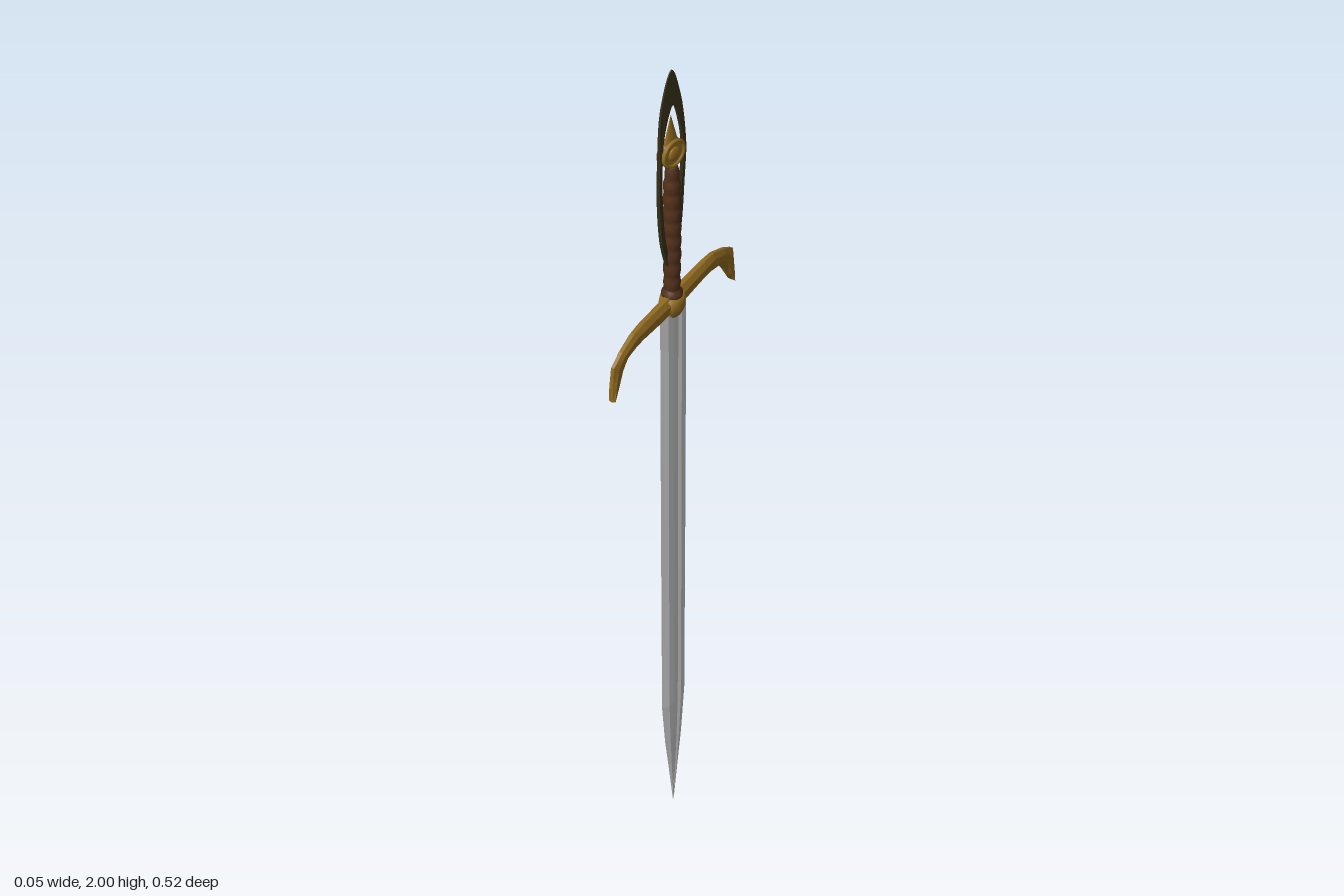
import * as THREE from 'three';

const mat = (color, flatShading = false) =>
  new THREE.MeshStandardMaterial({ color, flatShading, side: THREE.DoubleSide });

const steel = mat(0xcccccc, true);
const brass = mat(0x916b20, true);
const brassSmooth = mat(0x916b20);
const wood = mat(0x52301a);
const dark = mat(0x332e18);

// Skin a row of closed rings (arrays of [x, y, z]) and cap both ends
function loft(rings) {
  const n = rings[0].length;
  const index = [];
  for (let i = 0; i < rings.length - 1; i++) {
    for (let j = 0; j < n; j++) {
      const k = (j + 1) % n;
      const a = i * n + j, b = i * n + k, c = b + n, d = a + n;
      index.push(a, b, c, a, c, d);
    }
  }
  const last = (rings.length - 1) * n;
  for (let j = 1; j < n - 1; j++) {
    index.push(0, j + 1, j, last, last + j, last + j + 1);
  }
  const g = new THREE.BufferGeometry();
  g.setAttribute('position', new THREE.Float32BufferAttribute(rings.flat(2), 3));
  g.setIndex(index);
  g.computeVertexNormals();
  return g;
}

function add(parent, name, geometry, material) {
  const m = new THREE.Mesh(geometry, material);
  m.name = name;
  parent.add(m);
  return m;
}

const curve = (pts) => new THREE.CatmullRomCurve3(
  pts.map(([z, y]) => new THREE.Vector3(z, y, 0)), true)
  .getPoints(56).slice(0, -1).map((p) => new THREE.Vector2(p.x, p.y));

// Double-edged blade with a shallow central fuller on each face
function bladeGeometry() {
  const face = [[0.036, 0.010], [0.016, 0.013], [0.007, 0.009],
    [-0.007, 0.009], [-0.016, 0.013], [-0.036, 0.010]];
  const section = [[0.056, 0], ...face, [-0.056, 0],
    ...face.map(([z, x]) => [-z, -x])];
  const stations = [[0, 0.01, 0.08], [0.08, 0.28, 0.35], [0.18, 0.62, 0.68],
    [0.28, 0.85, 0.9], [0.8, 0.94, 0.95], [1.37, 1, 1]];
  return loft(stations.map(([y, sz, sx]) =>
    section.map(([z, x]) => [x * sx + 0.003, y, z * sz])));
}

// Crossguard: octagonal section swept between an upper and a lower edge
function guardGeometry() {
  // upper z, upper y, lower z, lower y, half thickness
  const half = [
    [0.06, 1.400, 0.06, 1.353, 0.0145], [0.13, 1.400, 0.13, 1.357, 0.0135],
    [0.17, 1.397, 0.16, 1.355, 0.0115], [0.22, 1.378, 0.198, 1.347, 0.0100],
    [0.255, 1.357, 0.216, 1.325, 0.0095], [0.26, 1.305, 0.236, 1.293, 0.0095],
    [0.259, 1.266, 0.253, 1.270, 0.0085]];
  const back = half.map(([a, b, c, d, w]) => [-a, b, -c, d, w]).reverse();
  const rings = [...back, [0, 1.4, 0, 1.35, 0.016], ...half].map(([uz, uy, lz, ly, w]) => {
    const ring = [];
    for (let i = 0; i < 8; i++) {
      const t = (i + 0.5) * Math.PI / 4;
      const x = Math.cos(t) / Math.cos(Math.PI / 8);
      const s = 0.5 + 0.5 * Math.sin(t) / Math.cos(Math.PI / 8);
      ring.push([x * w, ly + (uy - ly) * s, lz + (uz - lz) * s]);
    }
    return ring;
  });
  return loft(rings);
}

// Turned grip with a row of swelling rings
function gripGeometry() {
  const pts = [[0, 1.39], [0.024, 1.39], [0.024, 1.405]];
  const rings = 9, steps = 6;
  for (let i = 0; i <= rings * steps; i++) {
    const u = i / (rings * steps);
    const swell = 0.0165 + 0.0025 * Math.sin(Math.PI * u);
    const ripple = 0.0025 * Math.abs(Math.sin(Math.PI * u * rings));
    pts.push([swell + ripple - 0.005 * Math.max(0, u - 0.85) / 0.15, 1.41 + u * 0.345]);
  }
  pts.push([0, 1.757]);
  return new THREE.LatheGeometry(pts.map(([r, y]) => new THREE.Vector2(r, y)), 20);
}

// Slim oval loop, thick at the crown, thinning and leaning to one side on top
function loopGeometry() {
  const shape = new THREE.Shape(curve([[-0.015, 2.0], [-0.036, 1.93], [-0.043, 1.82],
    [-0.036, 1.70], [-0.023, 1.56], [0.005, 1.46], [0.031, 1.53],
    [0.044, 1.65], [0.043, 1.78], [0.024, 1.92]]));
  shape.holes.push(new THREE.Path(curve([[-0.011, 1.91], [-0.029, 1.85], [-0.034, 1.78],
    [-0.027, 1.69], [-0.014, 1.58], [0.007, 1.49], [0.024, 1.55],
    [0.035, 1.66], [0.035, 1.78], [0.021, 1.85]])));
  const g = new THREE.ExtrudeGeometry(shape, { depth: 0.01, bevelEnabled: false });
  g.translate(0, 0, -0.005).rotateY(-Math.PI / 2);
  const p = g.attributes.position;
  for (let i = 0; i < p.count; i++) {
    const t = Math.max(0, (p.getY(i) - 1.78) / 0.22);
    p.setX(i, p.getX(i) * (1 - 0.75 * t) - 0.015 * t);
  }
  g.computeVertexNormals();
  return g;
}

export function createModel() {
  const model = new THREE.Group();
  model.name = 'sword';

  const lower = new THREE.Group();
  lower.name = 'bladeAndGuard';
  lower.rotation.y = 0.05;
  model.add(lower);
  add(lower, 'blade', bladeGeometry(), steel);
  add(lower, 'crossguard', guardGeometry(), brass);

  // Oval collar where the guard meets the grip
  const collar = add(lower, 'guardCollar', new THREE.LatheGeometry(
    [[0, 1.348], [0.021, 1.348], [0.026, 1.36], [0.027, 1.375], [0.024, 1.395], [0, 1.402]]
      .map(([r, y]) => new THREE.Vector2(r, y)), 24), brassSmooth);
  collar.scale.z = 1.45;

  add(model, 'grip', gripGeometry(), wood);

  const upper = new THREE.Group();
  upper.name = 'pommelAssembly';
  upper.rotation.y = -0.15;
  model.add(upper);
  add(upper, 'handLoop', loopGeometry(), dark);

  // Disc pommel with a raised rim and a boss on both faces
  const disc = add(upper, 'pommelDisc', new THREE.CylinderGeometry(0.034, 0.034, 0.018, 24), brassSmooth);
  disc.rotation.z = Math.PI / 2;
  disc.position.set(0, 1.79, 0.003);
  for (const s of [-1, 1]) {
    const rim = add(upper, 'pommelRim', new THREE.TorusGeometry(0.032, 0.005, 8, 24), brassSmooth);
    rim.rotation.y = Math.PI / 2;
    rim.position.set(s * 0.008, 1.79, 0.003);
    const boss = add(upper, 'pommelBoss', new THREE.SphereGeometry(0.018, 16, 10), brassSmooth);
    boss.scale.x = 0.35;
    boss.position.set(s * 0.009, 1.79, 0.003);
  }

  // Pointed finial above the pommel
  const finial = add(upper, 'finial', new THREE.ConeGeometry(0.024, 0.085, 12), brassSmooth);
  finial.scale.x = 0.4;
  finial.position.set(-0.001, 1.85, 0.003);

  return model;
}
